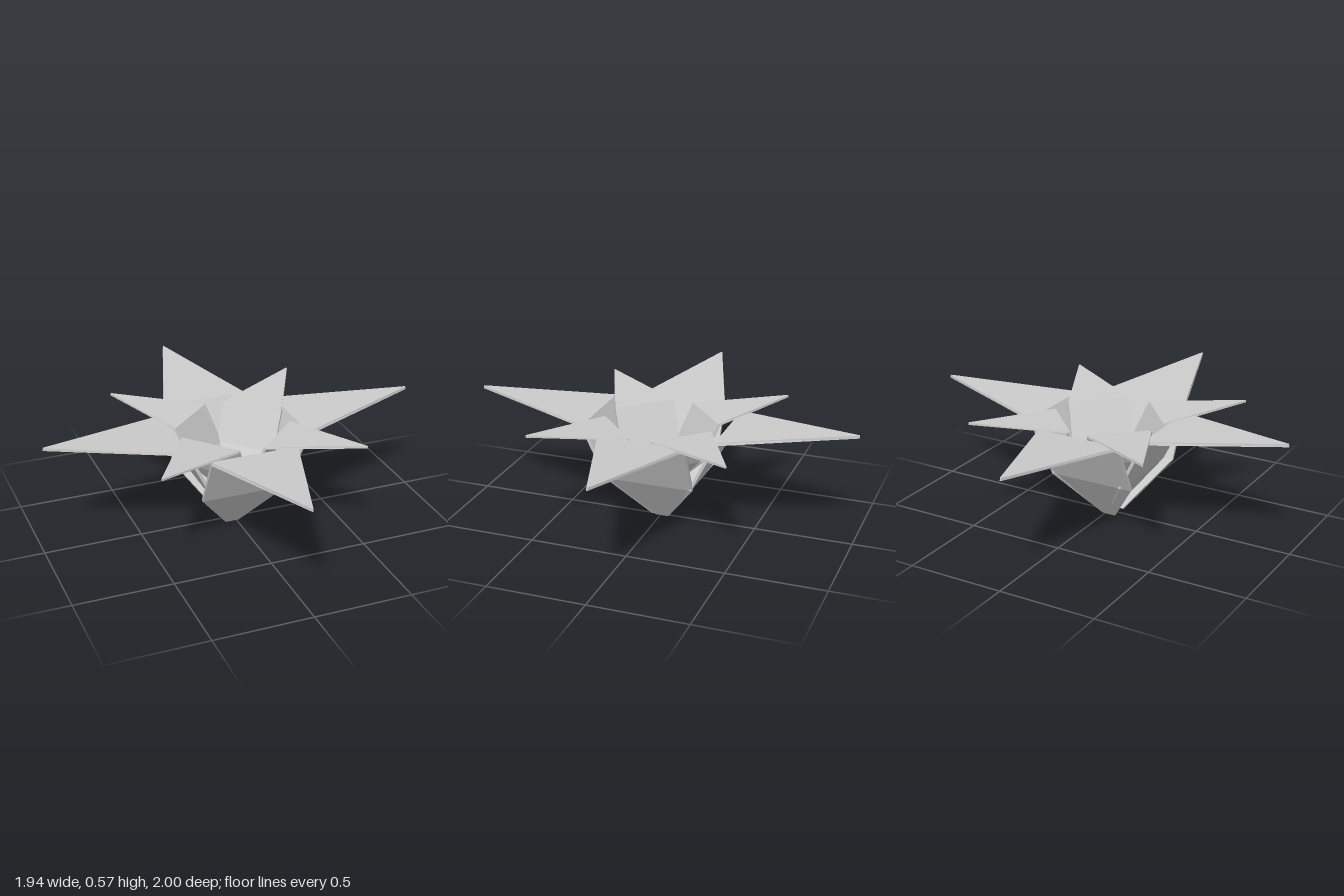
import * as THREE from 'three';

const material = new THREE.MeshStandardMaterial({ color: 0xcccccc, flatShading: true });

// Folded plate: each row is [radius, height, half width, inner radius, inner height]
function petalGeometry(rows) {
  const pos = [], idx = [];
  for (const [r, y, w, ri, yi] of rows) {
    pos.push(-w, y, r, w, y, r, w, yi, ri, -w, yi, ri);
  }
  const quad = (a, b, c, d) => idx.push(a, b, c, a, c, d);
  for (let i = 0; i < rows.length - 1; i++) {
    const a = i * 4, b = a + 4;
    for (let j = 0; j < 4; j++) {
      const k = (j + 1) % 4;
      quad(a + j, a + k, b + k, b + j);
    }
  }
  const e = (rows.length - 1) * 4;
  quad(0, 3, 2, 1);
  quad(e, e + 1, e + 2, e + 3);
  const indexed = new THREE.BufferGeometry();
  indexed.setAttribute('position', new THREE.Float32BufferAttribute(pos, 3));
  indexed.setIndex(idx);
  const g = indexed.toNonIndexed();
  g.computeVertexNormals();
  return g;
}

export function createModel() {
  const group = new THREE.Group();

  const outer = petalGeometry([
    [0.045, 0, 0.035, 0.033, 0.009],
    [0.225, 0.25, 0.225, 0.212, 0.256],
    [0.355, 0.51, 0.225, 0.343, 0.525],
    [1.0, 0.555, 0.003, 0.998, 0.57],
  ]);
  const inner = petalGeometry([
    [0.03, 0.15, 0.025, 0.02, 0.157],
    [0.158, 0.328, 0.16, 0.148, 0.333],
    [0.25, 0.512, 0.16, 0.24, 0.523],
    [0.71, 0.543, 0.003, 0.709, 0.554],
  ]);

  const add = (geometry, name, angle, x, z) => {
    const m = new THREE.Mesh(geometry, material);
    m.name = name;
    m.rotation.y = angle;
    m.position.set(x, 0, z);
    group.add(m);
  };

  // Four large petals, slightly off centre
  add(outer, 'outerPetalFront', 0, -0.025, 0);
  add(outer, 'outerPetalLeft', Math.PI / 2, -0.03, -0.008);
  add(outer, 'outerPetalBack', Math.PI, -0.025, 0);
  add(outer, 'outerPetalRight', -Math.PI / 2, 0.03, -0.008);

  // Four small diagonal petals, each aimed at its tip
  const tips = [[0.48, 0.51], [0.51, -0.5], [-0.47, -0.52], [-0.54, 0.47]];
  tips.forEach(([x, z], i) => add(inner, `innerPetal${i + 1}`, Math.atan2(x, z), 0, 0));

  return group;
}
